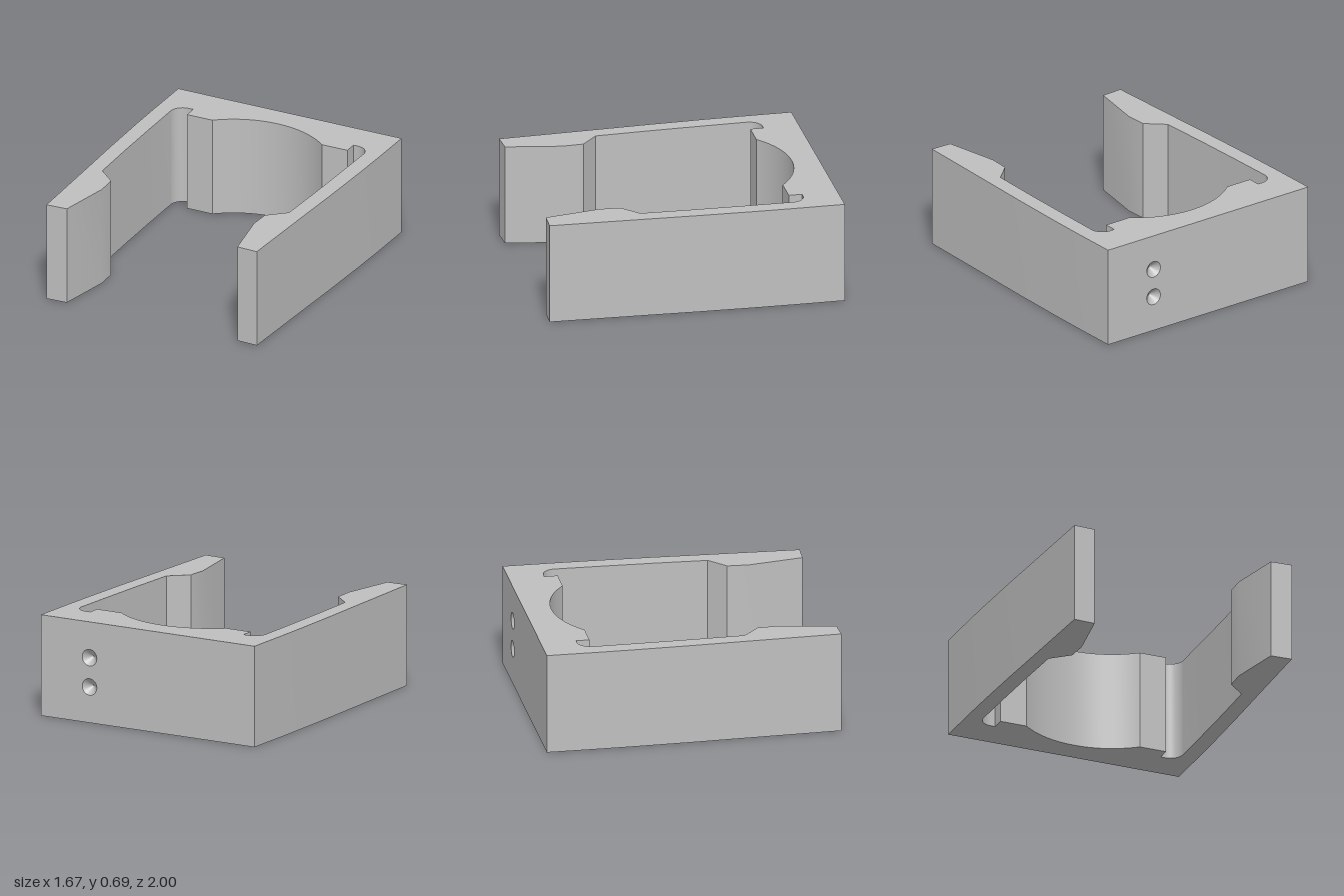
import * as THREE from 'three';
import { toCreasedNormals } from 'three/addons/utils/BufferGeometryUtils.js';

const HEIGHT = 0.69, HALF_WIDTH = 0.835;
const PLATE = 0.06;                       // depth of the rear slice holding the dimples
const DIMPLE = { x: 0.455, ys: [0.245, 0.445], r: 0.057 };

// Right half of the plan as [x, z], from the rear recess round to the rear corner
function halfPlan() {
  const pts = [];
  // shallow circular recess
  const R = 0.635, centreZ = -0.185, end = Math.asin(0.41 / R);
  for (let i = 0; i <= 20; i++) {
    const a = (end * i) / 20;
    pts.push([R * Math.sin(a), centreZ - R * Math.cos(a)]);
  }
  // pad beside the recess, then the relief notch with its rounded corner
  pts.push([0.6, -0.67], [0.6, -0.76]);
  for (let i = 0; i <= 14; i++) {
    const a = (Math.PI / 2) * (i / 14);
    pts.push([0.632 + 0.09 * Math.sin(a), -0.67 - 0.09 * Math.cos(a)]);
  }
  // inside of the arm and its hooked end
  pts.push([0.718, -0.35], [0.711, 0], [0.699, 0.36], [0.576, 0.47], [0.569, 0.615], [0.638, 0.99], [0.787, 0.997]);
  // gently bowed outside of the arm
  pts.push([0.797, 0.7], [0.809, 0.35], [0.822, 0], [0.832, -0.4], [HALF_WIDTH, -0.65], [HALF_WIDTH, -1 + PLATE]);
  return pts;
}

export function createModel() {
  const group = new THREE.Group();
  const grey = new THREE.MeshStandardMaterial({ color: 0xbfbfbf });
  grey.name = 'grey';
  grey.side = THREE.DoubleSide;

  const add = (geometry, name) => {
    const mesh = new THREE.Mesh(geometry, grey);
    mesh.name = name;
    group.add(mesh);
    return mesh;
  };

  // Clip body: mirrored plan, extruded upward
  const half = halfPlan();
  const mirrored = half.slice(1).reverse().map(([x, z]) => [-x, z]);
  const plan = new THREE.Shape([...half, ...mirrored].map(([x, z]) => new THREE.Vector2(x, -z)));
  const body = new THREE.ExtrudeGeometry(plan, { depth: HEIGHT, bevelEnabled: false });
  body.rotateX(-Math.PI / 2);
  add(toCreasedNormals(body, 0.3), 'clipBody');

  // Rear plate with two round openings
  const face = new THREE.Shape([
    new THREE.Vector2(-HALF_WIDTH, 0), new THREE.Vector2(HALF_WIDTH, 0),
    new THREE.Vector2(HALF_WIDTH, HEIGHT), new THREE.Vector2(-HALF_WIDTH, HEIGHT),
  ]);
  for (const y of DIMPLE.ys) {
    face.holes.push(new THREE.Path().absarc(DIMPLE.x, y, DIMPLE.r, 0, Math.PI * 2, true));
  }
  const plate = new THREE.ExtrudeGeometry(face, { depth: PLATE, bevelEnabled: false, curveSegments: 16 });
  add(plate, 'rearPlate').position.z = -1;

  // Conical dimples sunk into the rear plate
  DIMPLE.ys.forEach((y, i) => {
    const cone = new THREE.ConeGeometry(DIMPLE.r, PLATE - 0.005, 32, 1, true);
    cone.rotateX(Math.PI / 2);
    add(cone, i ? 'upperDimple' : 'lowerDimple').position.set(DIMPLE.x, y, -1 + (PLATE - 0.005) / 2);
  });

  return group;
}
